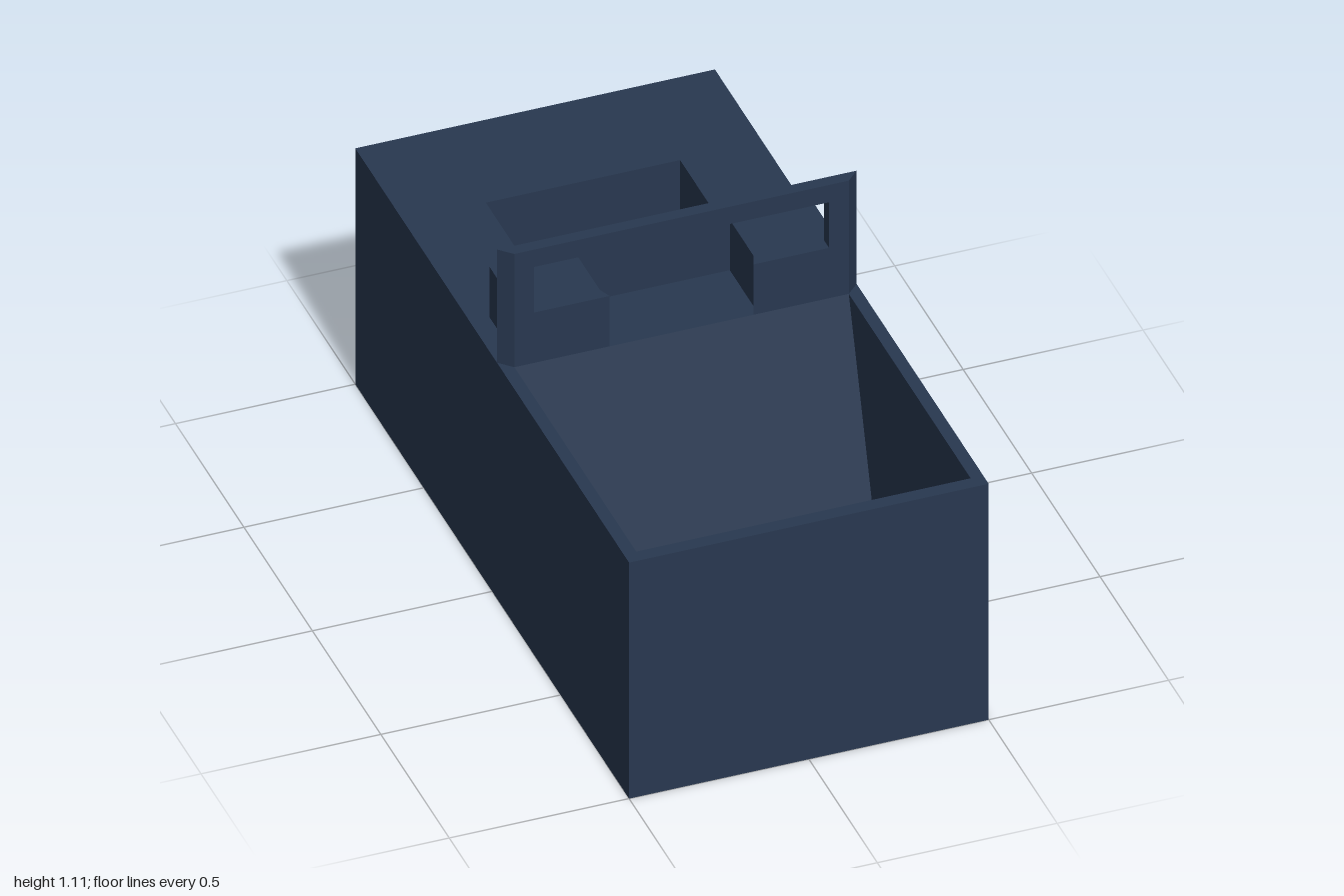
import * as THREE from 'three';

const navy = new THREE.MeshStandardMaterial({ color: 0x283850 });
const black = new THREE.MeshStandardMaterial({ color: 0x0d0d0d });

// Four corners of a rectangle at height y, symmetric about x = 0
const ring = (halfX, z0, z1, y) => [[-halfX, y, z0], [halfX, y, z0], [halfX, y, z1], [-halfX, y, z1]];

// Four walls between two rings, facing inward or outward
function walls(top, bottom, inward) {
  const p = [];
  for (let i = 0; i < 4; i++) {
    const j = (i + 1) % 4;
    const [a, b, c, d] = inward
      ? [top[i], bottom[i], bottom[j], top[j]]
      : [top[i], top[j], bottom[j], bottom[i]];
    p.push(...a, ...b, ...c, ...a, ...c, ...d);
  }
  const g = new THREE.BufferGeometry();
  g.setAttribute('position', new THREE.Float32BufferAttribute(p, 3));
  g.computeVertexNormals();
  return g;
}

// Horizontal rectangle facing up, or down when flipped
function sheet(halfX, z0, z1, y, down = false) {
  return new THREE.PlaneGeometry(halfX * 2, z1 - z0)
    .rotateX(down ? Math.PI / 2 : -Math.PI / 2)
    .translate(0, y, (z0 + z1) / 2);
}

// Upright prism from a plan outline of [x, z] points
function prism(points, y0, y1) {
  const shape = new THREE.Shape(points.map(([x, z]) => new THREE.Vector2(x, -z)));
  return new THREE.ExtrudeGeometry(shape, { depth: y1 - y0, bevelEnabled: false })
    .rotateX(-Math.PI / 2).translate(0, y0, 0);
}

const rectPath = (Type, halfX, z0, z1) => new Type([
  [-halfX, -z0], [halfX, -z0], [halfX, -z1], [-halfX, -z1],
].map(([x, y]) => new THREE.Vector2(x, y)));

export function createModel() {
  const model = new THREE.Group();
  const add = (name, geometry, material = navy) => {
    const mesh = new THREE.Mesh(geometry, material);
    mesh.name = name;
    model.add(mesh);
  };
  const H = 0.75;

  // Body shell, with two openings in the top
  add('bodySides', walls(ring(0.5, -1, 1, H), ring(0.5, -1, 1, 0), false));
  add('bodyBottom', sheet(0.5, -1, 1, 0, true));
  const deck = rectPath(THREE.Shape, 0.5, -1, 1);
  deck.holes.push(rectPath(THREE.Path, 0.465, 0.07, 0.96), rectPath(THREE.Path, 0.27, -0.65, -0.2));
  add('deck', new THREE.ShapeGeometry(deck).rotateX(-Math.PI / 2).translate(0, H, 0));

  // Front bay with sloping ends and a black floor
  add('frontBayWalls', walls(ring(0.465, 0.07, 0.96, H), ring(0.465, 0.27, 0.8, 0.1), true));
  add('frontBayFloor', sheet(0.465, 0.27, 0.8, 0.1), black);

  // Straight-sided rear bay
  add('rearBayWalls', walls(ring(0.27, -0.65, -0.2, H), ring(0.27, -0.65, -0.2, 0.3), true));
  add('rearBayFloor', sheet(0.27, -0.65, -0.2, 0.3));

  // U-shaped block, open to the front
  const half = [[0.445, -0.165], [0.445, 0.035], [0.41, 0.035], [0.41, 0.07], [0.2, 0.07], [0.214, 0.035], [0.214, -0.14]];
  const mirror = (pts) => pts.map(([x, z]) => [-x, z]).reverse();
  add('centreBlock', prism([...half, ...mirror(half)], H, 0.91));

  // Upright frame with chamfered front corners
  const post = [[0.41, 0.035], [0.5, 0.035], [0.465, 0.07], [0.41, 0.07]];
  add('leftPost', prism(post, H, 1.055));
  add('rightPost', prism(mirror(post), H, 1.055));
  add('topBar', prism([[-0.5, 0.035], [0.5, 0.035], [0.465, 0.07], [-0.465, 0.07]], 1.055, 1.11));

  return model;
}
